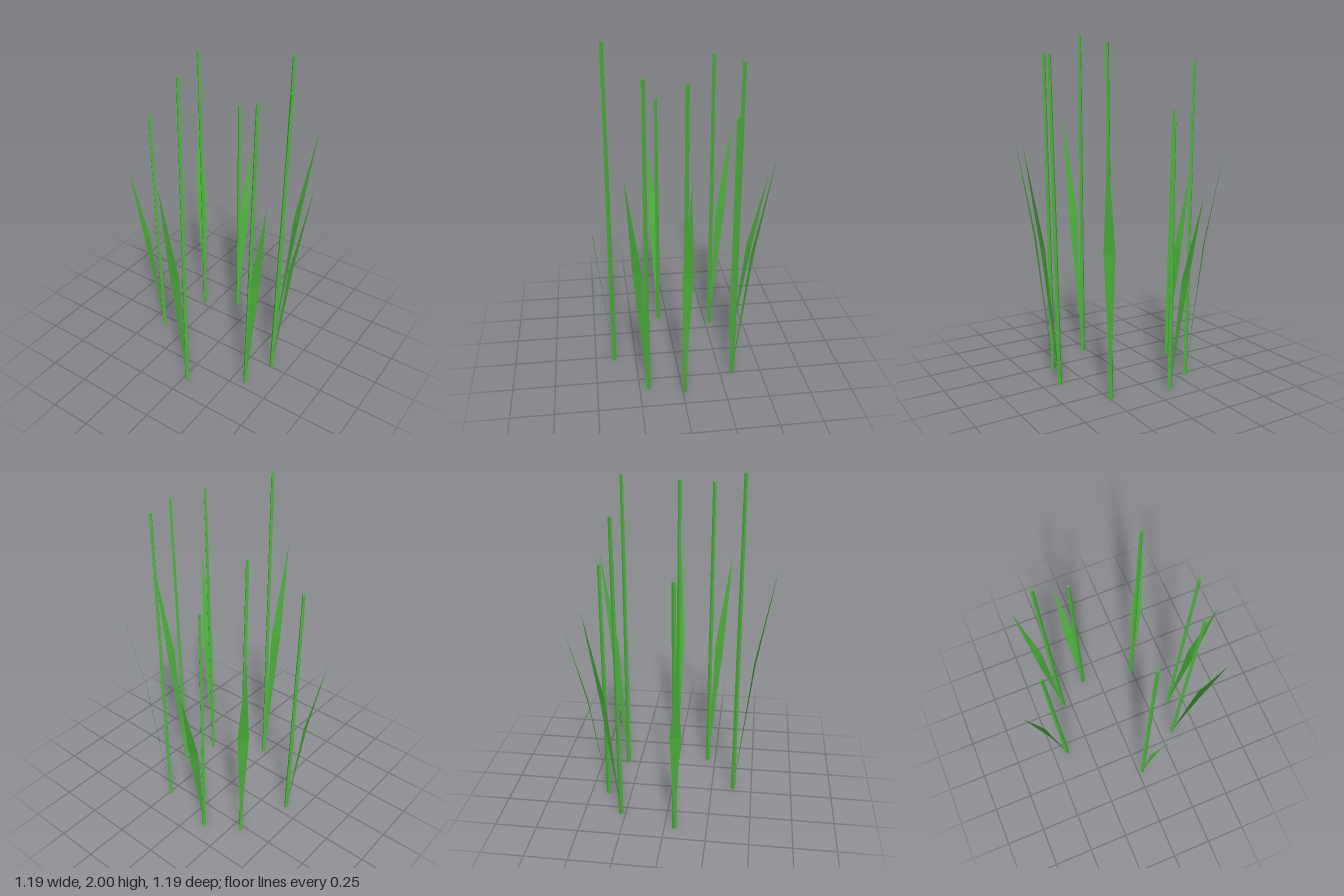
import * as THREE from 'three';

// base x, base z, height, sideways lean of the top, leaf tip x, leaf tip z
const STEMS = [
  [0.028, 0.385, 2.0, 0.003, 0.047, 0.592],
  [0.335, 0.2, 1.88, 0.027, 0.502, 0.314],
  [0.397, -0.011, 1.87, 0.034, 0.597, -0.012],
  [0.24, -0.326, 1.93, 0.02, 0.36, -0.497],
  [-0.11, -0.392, 1.515, -0.01, -0.162, -0.6],
  [-0.305, -0.277, 1.84, -0.026, -0.449, -0.423],
  [-0.405, 0.059, 1.55, -0.033, -0.598, 0.093],
];

// Bent blade: two triangles meeting at a level fold, leaning outward
function leafGeometry(dx, dz, height) {
  const length = Math.hypot(dx, dz);
  const wx = (dz / length) * 0.031, wz = (-dx / length) * 0.031;
  const base = [0, 0, 0];
  const tip = [dx, 0.75 * height, dz];
  const foldY = 0.44 * height;
  const a = [dx * 0.47 + wx, foldY, dz * 0.47 + wz];
  const b = [dx * 0.47 - wx, foldY, dz * 0.47 - wz];
  const geometry = new THREE.BufferGeometry();
  geometry.setAttribute('position', new THREE.Float32BufferAttribute(
    [...base, ...a, ...b, ...b, ...a, ...tip], 3));
  geometry.computeVertexNormals();
  return geometry;
}

export function createModel() {
  const model = new THREE.Group();
  model.name = 'reeds';
  const green = new THREE.MeshStandardMaterial({ color: 0x4db33d, flatShading: true, side: THREE.DoubleSide });
  green.name = 'reed green';

  for (const [x, z, height, lean, tipX, tipZ] of STEMS) {
    const reed = new THREE.Group();
    reed.name = 'reed';
    reed.position.set(x, 0, z);

    // Four-sided tapering stalk, leaning sideways
    const stalkGeometry = new THREE.CylinderGeometry(0.01, 0.014, height, 4);
    stalkGeometry.translate(0, height / 2, 0);
    const stalk = new THREE.Mesh(stalkGeometry, green);
    stalk.name = 'stalk';
    stalk.rotation.z = -Math.atan2(lean, height);
    reed.add(stalk);

    const leaf = new THREE.Mesh(leafGeometry(tipX - x, tipZ - z, height), green);
    leaf.name = 'leaf';
    reed.add(leaf);
    model.add(reed);
  }
  return model;
}
